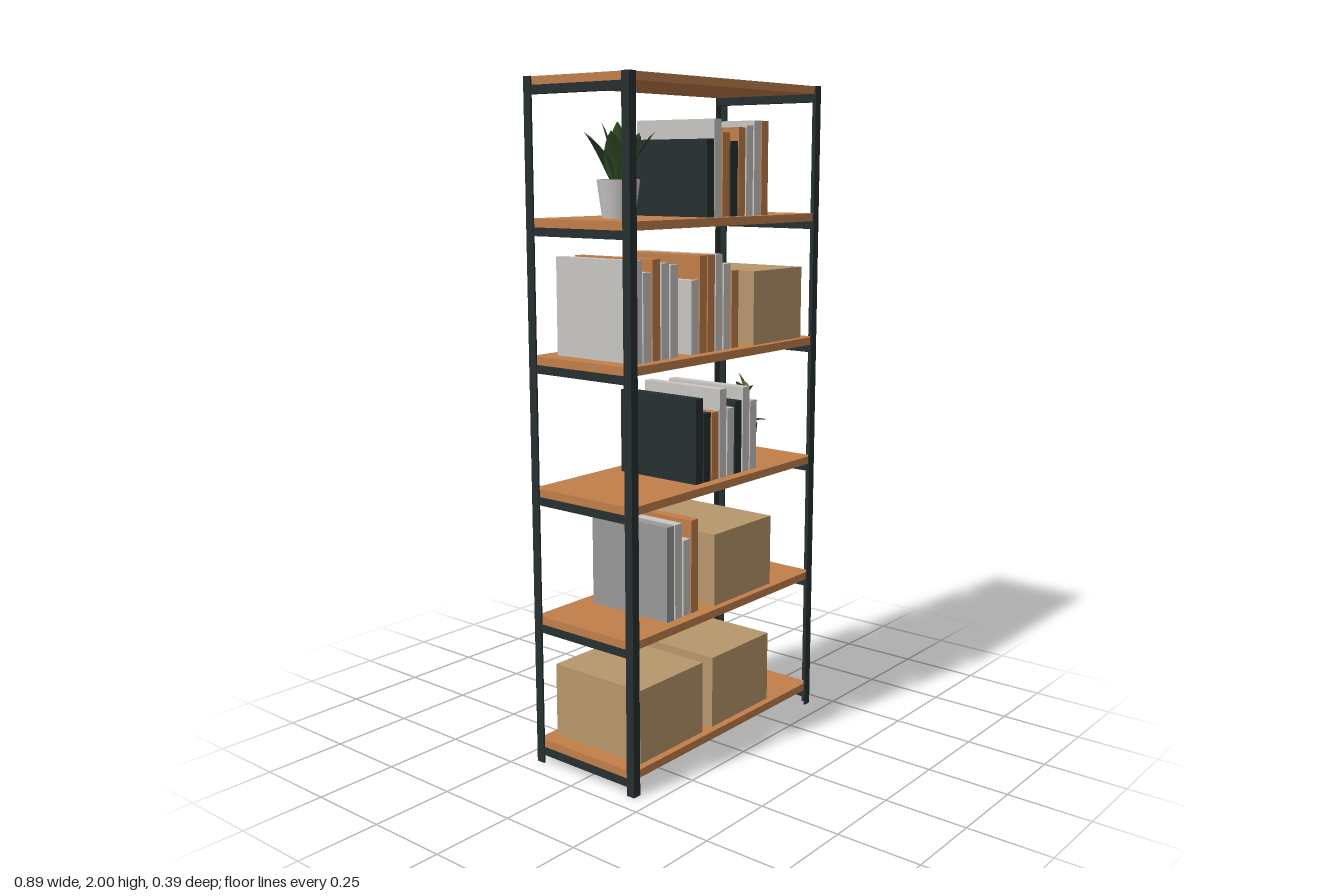
import * as THREE from 'three';

const paint = (name, color, extra = {}) => {
  const m = new THREE.MeshStandardMaterial({ color, ...extra });
  m.name = name;
  return m;
};

export function createModel() {
  const root = new THREE.Group();
  root.name = 'bookshelf';
  const two = { side: THREE.DoubleSide };
  const wood = paint('wood', 0xc27f4a);
  const metal = paint('blackMetal', 0x262f30);
  const card = paint('cardboard', 0xb8976c);
  const pale = paint('paleGrey', 0xc9c6c3);
  const grey = paint('midGrey', 0x98989a);
  const soilMat = paint('soil', 0x3a2a1e);
  const green = paint('leafGreen', 0x3d5f2c, two);
  const dark = paint('darkLeaf', 0x28432a, two);
  const olive = paint('oliveLeaf', 0x5f7440, two);

  const add = (parent, name, geo, mat, x = 0, y = 0, z = 0) => {
    const m = new THREE.Mesh(geo, mat);
    m.name = name;
    m.position.set(x, y, z);
    parent.add(m);
    return m;
  };
  const box = (parent, name, mat, x0, x1, y0, y1, z0, z1) =>
    add(parent, name, new THREE.BoxGeometry(x1 - x0, y1 - y0, z1 - z0), mat,
      (x0 + x1) / 2, (y0 + y1) / 2, (z0 + z1) / 2);

  // Angle-iron corner posts
  const X = 0.443, Z = 0.193, F = 0.027, T = 0.005;
  const angle = new THREE.Shape([[0, 0], [F, 0], [F, T], [T, T], [T, F], [0, F]]
    .map(([x, y]) => new THREE.Vector2(x, y)));
  const postGeo = new THREE.ExtrudeGeometry(angle, { depth: 2, bevelEnabled: false });
  postGeo.rotateX(-Math.PI / 2); // outer corner at the origin, legs along +x and -z
  [[-X, Z, 0], [X, Z, 1], [X, -Z, 2], [-X, -Z, 3]].forEach(([x, z, k]) => {
    add(root, 'cornerPost', postGeo, metal, x, 0, z).rotation.y = k * Math.PI / 2;
  });

  // Shelf boards with a cross bar under each end
  const tops = [0.074, 0.459, 0.845, 1.23, 1.616, 2];
  tops.forEach((y, i) => {
    const top = i === 5 ? 1.999 : y;
    box(root, 'shelfBoard', wood, -0.438, 0.438, y - 0.024, top, -0.188, 0.188);
    for (const s of [-1, 1]) {
      const a = s * 0.418, b = s * 0.4415;
      box(root, 'crossBar', metal, Math.min(a, b), Math.max(a, b), y - 0.048, y - 0.024, -0.187, 0.187);
    }
  });

  // Books: [left edge, height, colour]
  const W = 0.032;
  const P = pale, O = wood, D = metal, G = grey;
  const rows = [
    [1, [[-0.249, 0.285, G], [-0.212, 0.285, P], [-0.175, 0.23, P], [-0.138, 0.283, O]]],
    [2, [[-0.117, 0.253, D], [-0.08, 0.206, D], [-0.042, 0.204, O], [-0.005, 0.268, P],
      [0.033, 0.206, P], [0.071, 0.222, D], [0.11, 0.26, P], [0.147, 0.214, P]]],
    [3, [[-0.384, 0.28, P], [-0.347, 0.246, P], [-0.308, 0.28, O], [-0.27, 0.267, P], [-0.231, 0.26, P],
      [-0.138, 0.212, P], [-0.101, 0.28, O], [-0.064, 0.28, O], [-0.027, 0.28, P],
      [0.011, 0.25, P], [0.05, 0.229, O]]],
    [4, [[-0.07, 0.219, D], [-0.036, 0.275, P], [0.003, 0.238, O], [0.042, 0.214, D],
      [0.078, 0.254, O], [0.116, 0.26, P], [0.155, 0.275, P], [0.192, 0.275, O]]],
  ];
  for (const [shelf, books] of rows) {
    const row = new THREE.Group();
    row.name = 'bookRow';
    root.add(row);
    for (const [x, h, mat] of books)
      box(row, 'book', mat, x, x + W, tops[shelf], tops[shelf] + h, -0.137, 0.154);
  }

  // Storage boxes: [shelf, left edge, right edge]
  for (const [s, x0, x1] of [[0, -0.384, -0.098], [0, -0.05, 0.236], [1, -0.042, 0.244], [3, 0.143, 0.393]])
    box(root, 'storageBox', card, x0, x1, tops[s], tops[s] + 0.222, -0.166, 0.166);

  // Folded leaf that bends outward along its length
  const leafGeo = (length, width, lean, curl, fullness) => {
    const n = 8, pos = [], idx = [];
    let r = 0, y = 0;
    for (let i = 0; i <= n; i++) {
      const t = i / n, a = lean + curl * t;
      const w = width / 2 * Math.pow(Math.sin(Math.PI * Math.pow(t * 0.96 + 0.04, fullness)), 0.8) || 0;
      const fold = w * 0.3;
      const nx = -Math.cos(a) * fold, ny = Math.sin(a) * fold;
      pos.push(r + nx, y + ny, -w, r, y, 0, r + nx, y + ny, w);
      if (i < n) for (const k of [0, 1]) {
        const p = i * 3 + k;
        idx.push(p, p + 1, p + 3, p + 1, p + 4, p + 3);
      }
      r += Math.sin(a) * length / n;
      y += Math.cos(a) * length / n;
    }
    const g = new THREE.BufferGeometry();
    g.setAttribute('position', new THREE.Float32BufferAttribute(pos, 3));
    g.setIndex(idx);
    g.computeVertexNormals();
    return g;
  };
  const leaf = (parent, mat, turn, x, y, z, ...shape) => {
    add(parent, 'leaf', leafGeo(...shape), mat, x, y, z).rotation.y = turn;
  };

  // Hollow tapered pot filled with soil
  const pot = (parent, mat, rTop, rBase, h) => {
    const profile = [[0, 0], [rBase, 0], [rTop, h], [rTop * 0.9, h], [rTop * 0.87, h * 0.85]]
      .map(([x, y]) => new THREE.Vector2(x, y));
    const g = new THREE.LatheGeometry(profile, 32).toNonIndexed();
    g.computeVertexNormals();
    add(parent, 'pot', g, mat);
    add(parent, 'soil', new THREE.CircleGeometry(rTop * 0.89, 32).rotateX(-Math.PI / 2), soilMat, 0, h * 0.87, 0);
  };

  // Broad-leaved plant on the upper shelf
  const broad = new THREE.Group();
  broad.name = 'broadLeafPlant';
  broad.position.set(-0.272, tops[4], 0);
  root.add(broad);
  pot(broad, pale, 0.061, 0.046, 0.107);
  for (let i = 0; i < 7; i++) {
    const a = i * Math.PI * 2 / 7 + 0.1;
    leaf(broad, i % 3 ? green : dark, a, Math.cos(a) * 0.02, 0.095, -Math.sin(a) * 0.02,
      0.165 - (i % 2) * 0.015, 0.062, 0.4, 0.3, 0.8);
  }
  for (let i = 0; i < 4; i++) {
    const a = i * Math.PI / 2 + 0.7;
    leaf(broad, i % 2 ? dark : green, a, Math.cos(a) * 0.01, 0.095, -Math.sin(a) * 0.01,
      0.172, 0.056, 0.12, 0.2, 0.85);
  }

  // Small stemmed plant in a dark pot
  const small = new THREE.Group();
  small.name = 'stemPlant';
  small.position.set(0.317, tops[2], 0.003);
  root.add(small);
  pot(small, metal, 0.044, 0.035, 0.1);
  const stem = new THREE.CatmullRomCurve3([[0, 0.085, 0], [0.004, 0.14, 0.003], [-0.003, 0.19, 0], [0.002, 0.225, 0]]
    .map(p => new THREE.Vector3(...p)));
  add(small, 'stem', new THREE.TubeGeometry(stem, 12, 0.004, 6), dark);
  for (let i = 0; i < 6; i++) // drooping lower leaves
    leaf(small, dark, i * Math.PI / 3 + 0.2, 0, 0.096, 0, 0.08, 0.026, 1.1, 0.6, 0.9);
  // Stem leaves: [turn, height, length, lean, colour]
  for (const [turn, y, len, lean, mat] of [
    [0.2, 0.125, 0.07, 0.75, olive], [3.3, 0.125, 0.07, 0.8, green], [1.8, 0.14, 0.065, 0.85, green],
    [4.9, 0.14, 0.065, 0.8, olive], [0.5, 0.18, 0.065, 0.55, olive], [3.0, 0.18, 0.055, 0.7, dark],
    [4.6, 0.185, 0.06, 0.6, green], [1.6, 0.19, 0.055, 0.5, dark], [2.5, 0.21, 0.058, 0.2, olive]])
    leaf(small, mat, turn, 0, y, 0, len, 0.036, lean, 0.25, 0.9);

  return root;
}
